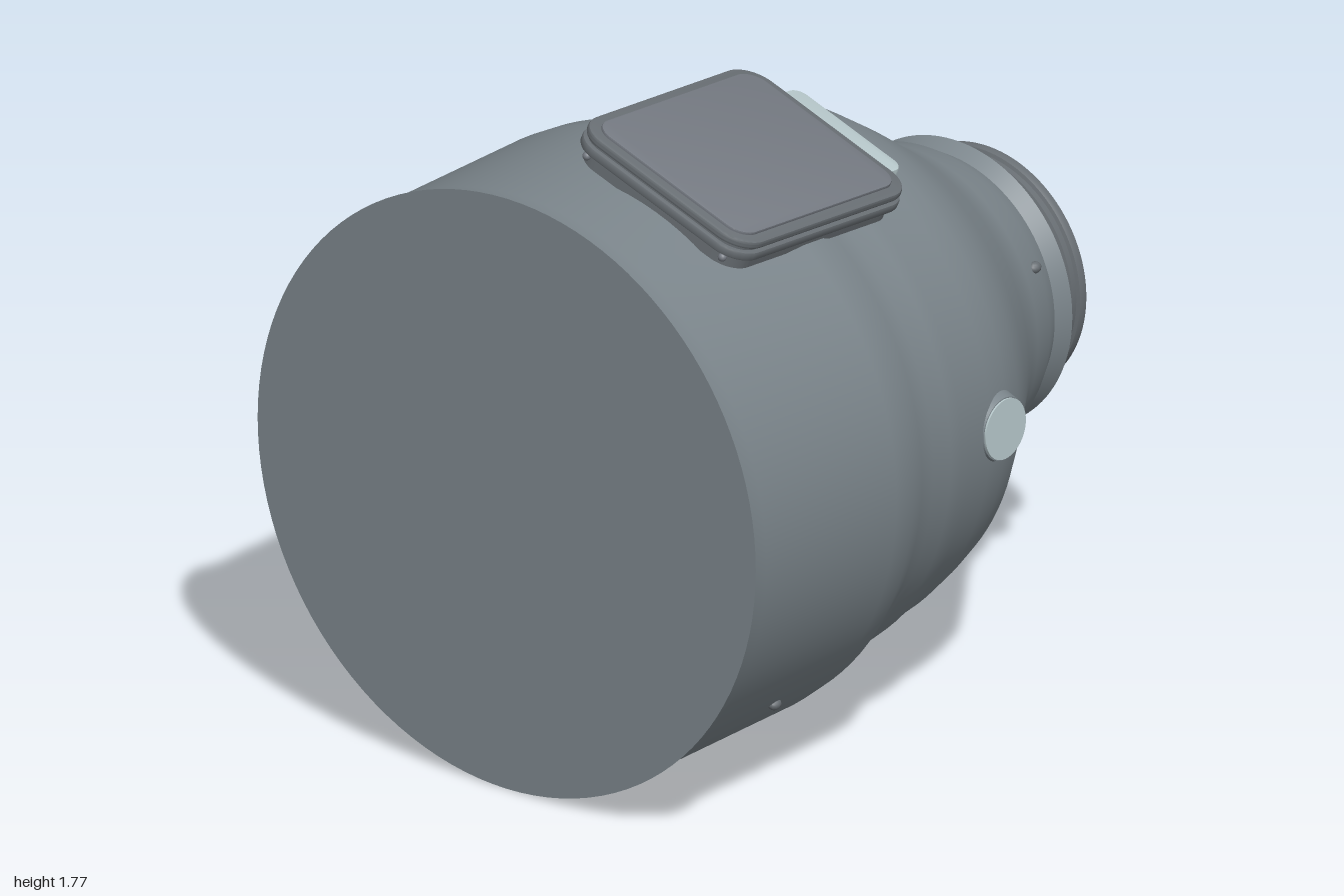
import * as THREE from 'three';
import { toCreasedNormals } from 'three/addons/utils/BufferGeometryUtils.js';

const AXIS_Y = 0.828;

function mat(name, color, side = THREE.FrontSide) {
  const m = new THREE.MeshStandardMaterial({ color, side });
  m.name = name;
  return m;
}

function add(parent, name, geometry, material, x = 0, y = 0, z = 0) {
  const mesh = new THREE.Mesh(geometry, material);
  mesh.name = name;
  mesh.position.set(x, y, z);
  parent.add(mesh);
  return mesh;
}

// Revolves [z, radius] pairs, listed from back to front, around the z axis
function revolve(profile, crease = 0.45) {
  const pts = profile.map(([z, r]) => new THREE.Vector2(r, z));
  return toCreasedNormals(new THREE.LatheGeometry(pts, 112).rotateX(Math.PI / 2), crease);
}

// Rounded slab lying flat, spanning bottom..top in y
function slab(w, l, r, bottom, top, bevel = 0) {
  const x = w / 2 - bevel, y = l / 2 - bevel;
  const s = new THREE.Shape();
  s.moveTo(-x + r, -y);
  s.lineTo(x - r, -y);
  s.absarc(x - r, -y + r, r, -Math.PI / 2, 0);
  s.lineTo(x, y - r);
  s.absarc(x - r, y - r, r, 0, Math.PI / 2);
  s.lineTo(-x + r, y);
  s.absarc(-x + r, y - r, r, Math.PI / 2, Math.PI);
  s.lineTo(-x, -y + r);
  s.absarc(-x + r, -y + r, r, Math.PI, Math.PI * 1.5);
  const g = new THREE.ExtrudeGeometry(s, {
    depth: top - bottom - 2 * bevel, curveSegments: 8,
    bevelEnabled: bevel > 0, bevelSize: bevel, bevelThickness: bevel, bevelSegments: 2,
  });
  g.rotateX(-Math.PI / 2).translate(0, bottom + bevel, 0);
  return toCreasedNormals(g, 0.5);
}

export function createModel() {
  const model = new THREE.Group();
  model.name = 'capsuleHousing';
  const shell = mat('shell grey', 0x7c868c);
  const plate = mat('panel grey', 0x747981);
  const trim = mat('trim grey', 0x686e73);
  const pale = mat('pale window', 0xb9cacd);
  const glass = mat('blue glass', 0x8fa3bb);

  // Shell, flange and neck share one axis
  const barrel = new THREE.Group();
  barrel.name = 'barrel';
  barrel.position.y = AXIS_Y;
  model.add(barrel);

  add(barrel, 'shell', revolve([
    [-0.80, 0.375], [-0.73, 0.415], [-0.65, 0.44], [-0.60, 0.462], [-0.52, 0.515],
    [-0.40, 0.598], [-0.27, 0.68], [-0.19, 0.704], [-0.10, 0.724], [0, 0.735],
    [0.05, 0.748], [0.10, 0.754], [0.18, 0.759], [0.25, 0.778], [0.32, 0.806],
    [0.40, 0.814], [0.94, 0.815], [1, 0.828],
  ]), shell);
  add(barrel, 'frontDisc', new THREE.CircleGeometry(0.828, 112), shell, 0, 0, 1);
  add(barrel, 'rearFlange', revolve([
    [-0.848, 0.3], [-0.848, 0.395], [-0.80, 0.375], [-0.80, 0.33],
  ]), shell);
  add(barrel, 'neck', revolve([
    [-0.975, 0.3], [-0.983, 0.31], [-0.983, 0.328], [-0.977, 0.338], [-0.963, 0.34],
    [-0.952, 0.337], [-0.948, 0.328], [-0.942, 0.328], [-0.938, 0.334],
    [-0.924, 0.334], [-0.918, 0.32], [-0.84, 0.32],
  ]), trim);
  const lens = add(barrel, 'rearGlass', new THREE.CircleGeometry(0.318, 96), glass, 0, 0, -0.985);
  lens.rotation.y = Math.PI;

  // Round side windows on shallow bosses, and small studs
  for (const side of [-1, 1]) {
    const boss = new THREE.CylinderGeometry(0.086, 0.115, 0.09, 48).rotateZ(-side * Math.PI / 2);
    add(barrel, 'windowBoss', boss, shell, side * 0.685, 0, -0.15);
    const disc = new THREE.CylinderGeometry(0.083, 0.083, 0.008, 48).rotateZ(-side * Math.PI / 2);
    add(barrel, 'sideWindow', disc, pale, side * 0.731, 0, -0.15);
    for (const [y, z, r] of [[-0.3, -0.595, 0.467], [0.18, -0.71, 0.421], [-0.55, 0.64, 0.815]]) {
      const stud = add(barrel, 'stud', new THREE.SphereGeometry(0.016, 12, 8), trim,
        side * Math.sqrt(r * r - y * y), y, z);
      stud.scale.z = 1.3;
    }
  }

  // Tilted hatch: layered rim around a flat plate
  const hatch = new THREE.Group();
  hatch.name = 'hatch';
  hatch.position.set(0.275, 1.642, 0.35);
  hatch.rotation.set(-0.115, 0, -0.355, 'ZXY');
  model.add(hatch);

  add(hatch, 'hatchBase', slab(0.56, 0.72, 0.075, -0.1, -0.05), trim);
  add(hatch, 'lowerRim', slab(0.6, 0.76, 0.08, -0.062, -0.036, 0.006), trim);
  add(hatch, 'rimGroove', slab(0.57, 0.73, 0.07, -0.04, -0.024), trim);
  add(hatch, 'upperRim', slab(0.595, 0.755, 0.08, -0.028, -0.004, 0.008), trim);
  add(hatch, 'hatchPlate', slab(0.53, 0.69, 0.055, -0.01, 0.004, 0.004), plate);
  for (const x of [-0.24, 0.24]) {
    add(hatch, 'frontRivet', new THREE.SphereGeometry(0.012, 12, 8), plate, x, -0.075, 0.36);
  }

  // Pale block and its seat behind the hatch
  add(hatch, 'blockSeat', slab(0.43, 0.2, 0.05, -0.15, -0.075), shell, -0.03, 0, -0.39);
  add(hatch, 'paleBlock', slab(0.38, 0.2, 0.03, -0.12, -0.03, 0.006), pale, 0.005, 0, -0.37);
  return model;
}
